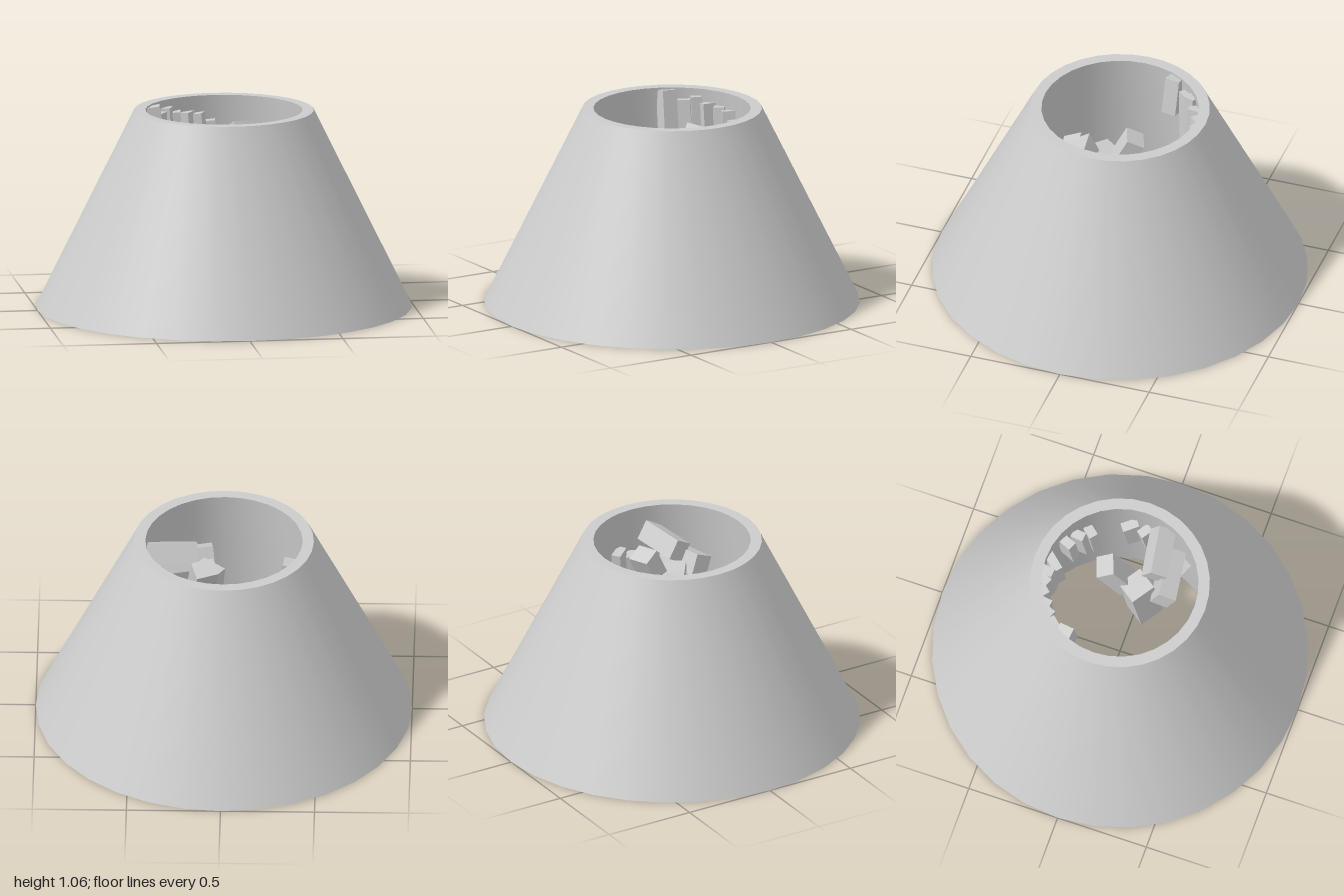
import * as THREE from 'three';
import { toCreasedNormals } from 'three/addons/utils/BufferGeometryUtils.js';

export function createModel() {
  const model = new THREE.Group();
  const material = new THREE.MeshStandardMaterial({ color: 0xcccccc });

  // Thick conical shell: flat base ring, sloped outside, rim, tapering bore
  const profile = [
    [0.53, 0], [1, 0], [0.478, 1.06], [0.418, 1.06], [0.53, 0],
  ].map(([r, y]) => new THREE.Vector2(r, y));
  const shell = new THREE.Mesh(
    toCreasedNormals(new THREE.LatheGeometry(profile, 32), 0.6), material);
  shell.name = 'coneShell';
  model.add(shell);

  // A block whose long axis runs between two points
  const blocks = new THREE.Group();
  blocks.name = 'looseBlocks';
  model.add(blocks);
  function block(name, from, to, width, height, roll = 0) {
    const a = new THREE.Vector3(...from), b = new THREE.Vector3(...to);
    const mesh = new THREE.Mesh(
      new THREE.BoxGeometry(width, height, a.distanceTo(b)), material);
    mesh.name = name;
    mesh.position.copy(a).add(b).multiplyScalar(0.5);
    mesh.lookAt(b);
    mesh.rotateZ(roll);
    blocks.add(mesh);
  }

  // Block catching on the rim
  block('rimBlock', [-0.33, -0.18, 0].map((v, i) => [-0.33, 0.85, -0.18][i]),
    [-0.365, 1.05, -0.19], 0.08, 0.09, 0.15);

  // Pile in the middle of the bore
  block('standingBlock', [0.13, 0.72, 0.0], [0.1, 0.96, -0.12], 0.12, 0.1, 0.12);
  block('leaningBlock', [0.12, 0.45, 0.1], [0.09, 0.84, 0.06], 0.13, 0.14, 0.3);
  block('upperCrossBlock', [0.15, 0.89, 0.14], [0.41, 0.91, 0.1], 0.1, 0.11, 0.5);
  block('lowerCrossBlock', [0.06, 0.82, 0.22], [0.34, 0.8, 0.18], 0.1, 0.12, 0.4);
  block('sideBlock', [0.34, 0.6, 0.17], [0.3, 0.78, 0.23], 0.08, 0.1, 0.2);

  // Slivers leaning round the back and side of the bore: angle, low, high, width
  const slivers = [
    [-0.86, 0.66, 1.0, 0.07], [-0.7, 0.62, 1.02, 0.06], [-0.54, 0.68, 0.99, 0.07],
    [-0.36, 0.64, 0.98, 0.06], [-0.2, 0.7, 0.97, 0.07], [-0.04, 0.62, 0.93, 0.08],
    [0.16, 0.66, 0.88, 0.13], [0.46, 0.68, 0.9, 0.09], [0.66, 0.64, 0.86, 0.07],
    [0.84, 0.6, 0.82, 0.07], [1.36, 0.6, 0.84, 0.09], [1.56, 0.58, 0.8, 0.07],
  ];
  slivers.forEach(([angle, low, high, width], i) => {
    const at = (r, y, t) => [Math.sin(t) * r, y, -Math.cos(t) * r];
    const reach = angle > 1 ? 0.43 : 0.4;
    block('wallSliver', at(reach, low, angle + 0.06), at(0.41, high, angle),
      width, 0.05, angle + (i % 3 - 1) * 0.3);
  });

  return model;
}
